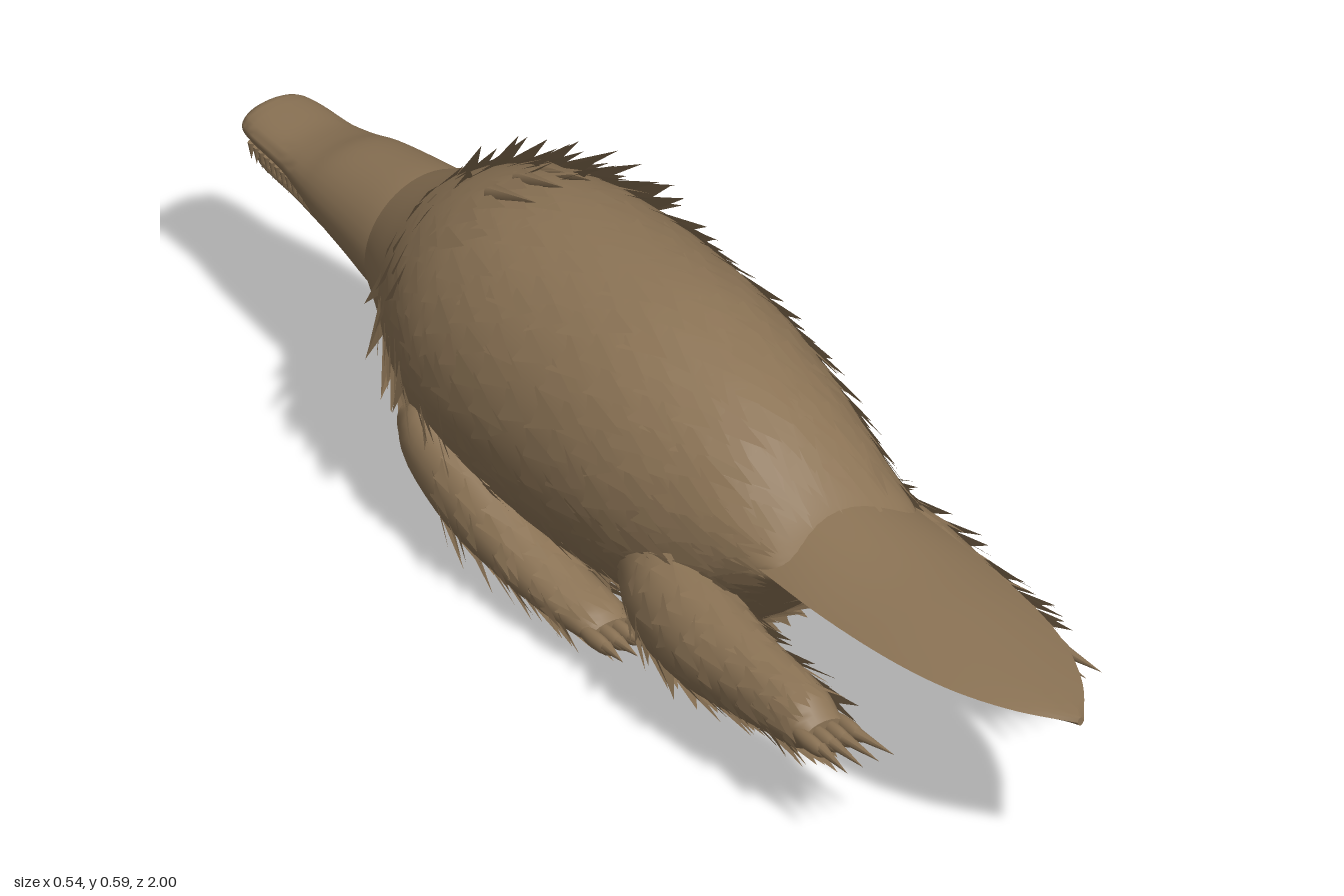
import * as THREE from 'three';
import { toCreasedNormals } from 'three/addons/utils/BufferGeometryUtils.js';

const hide = new THREE.MeshStandardMaterial({ color: 0x8b7355, side: THREE.DoubleSide });
hide.name = 'brown hide';

let seed = 7;
const rand = () => (seed = (seed * 16807) % 2147483647) / 2147483647;

// Smooth surface through sections [z, centreX, centreY, halfWidth, halfHeight]; power 2 gives a sharp-edged lens
function surface(sections, power = 1) {
  const centre = new THREE.CatmullRomCurve3(
    sections.map(([z, x, y]) => new THREE.Vector3(x, y, z)), false, 'catmullrom');
  const radius = new THREE.CatmullRomCurve3(
    sections.map((s) => new THREE.Vector3(s[3], s[4], 0)), false, 'catmullrom');
  return (u, a) => {
    const c = centre.getPoint(u), r = radius.getPoint(u), s = Math.sin(a);
    return new THREE.Vector3(
      c.x + r.x * Math.cos(a), c.y + r.y * Math.sign(s) * Math.abs(s) ** power, c.z);
  };
}

// Closed skin over a surface
function skin(at, rows = 32, cols = 32) {
  const pos = [], index = [];
  for (let i = 0; i <= rows; i++) {
    for (let j = 0; j < cols; j++) pos.push(...at(i / rows, (j / cols) * Math.PI * 2).toArray());
  }
  for (let i = 0; i < rows; i++) {
    for (let j = 0; j < cols; j++) {
      const k = (j + 1) % cols, a = i * cols + j, b = i * cols + k;
      index.push(a, b, a + cols, b, b + cols, a + cols);
    }
  }
  const mid = (u) => at(u, 0).add(at(u, Math.PI)).multiplyScalar(0.5).toArray();
  const first = pos.length / 3, end = rows * cols;
  pos.push(...mid(0), ...mid(1));
  for (let j = 0; j < cols; j++) {
    const k = (j + 1) % cols;
    index.push(first, k, j, first + 1, end + j, end + k);
  }
  const geo = new THREE.BufferGeometry();
  geo.setAttribute('position', new THREE.Float32BufferAttribute(pos, 3));
  geo.setIndex(index);
  return toCreasedNormals(geo, 0.7);
}

// Overlapping pointed tufts lying along the skin, swept towards +z, shaded with the skin below
function fur(at, { rows, cols, length, lift, from, to }) {
  const pos = [], normals = [];
  const e = 0.01;
  for (let i = 0; i < rows; i++) {
    for (let j = 0; j < cols; j++) {
      const u = from + (to - from) * ((i + 0.6 * rand()) / rows);
      const a = ((j + (i % 2) / 2 + 0.4 * rand()) / cols) * Math.PI * 2;
      const half = (Math.PI / cols) * (1 + 0.5 * rand());
      const along = at(Math.min(u + e, 1), a).sub(at(Math.max(u - e, 0), a)).normalize();
      const across = at(u, a + e).sub(at(u, a - e)).normalize();
      const out = across.clone().cross(along).normalize();
      const tip = at(u, a)
        .addScaledVector(along, length * (0.7 + 0.6 * rand()))
        .addScaledVector(across, (rand() - 0.5) * length * 0.4)
        .addScaledVector(out, lift(u) * (0.3 + 1.2 * rand()));
      for (const v of [at(u, a - half), at(u, a + half), tip]) {
        pos.push(v.x, v.y, v.z);
        normals.push(out.x, out.y, out.z);
      }
    }
  }
  const geo = new THREE.BufferGeometry();
  geo.setAttribute('position', new THREE.Float32BufferAttribute(pos, 3));
  geo.setAttribute('normal', new THREE.Float32BufferAttribute(normals, 3));
  return geo;
}

function add(parent, name, geometry) {
  const mesh = new THREE.Mesh(geometry, hide);
  mesh.name = name;
  parent.add(mesh);
  return mesh;
}

// Furry limb with four claws on its paw
function limb(name, side, sections, furOptions, clawLength) {
  const group = new THREE.Group();
  group.name = name;
  const at = surface(sections.map(([z, x, ...rest]) => [z, x * side, ...rest]));
  add(group, name + 'Skin', skin(at, 24, 20));
  add(group, name + 'Fur', fur(at, furOptions));
  const [z, x, y] = sections[sections.length - 1];
  for (let i = 0; i < 4; i++) {
    const t = i - 1.5;
    const toe = add(group, 'toe', new THREE.SphereGeometry(1, 12, 8));
    toe.scale.set(0.011, 0.014, 0.045);
    toe.position.set(side * (x + t * 0.023), y, z + 0.01);
    const claw = add(group, 'claw', new THREE.ConeGeometry(0.009, clawLength, 8));
    claw.rotation.set(Math.PI / 2, 0, -side * t * 0.08);
    claw.position.set(side * (x + t * 0.025), y + 0.003, z + 0.035 + clawLength / 2);
  }
  return group;
}

export function createModel() {
  const model = new THREE.Group();

  // Body
  const body = surface([
    [-0.61, 0, 0.32, 0.112, 0.111],
    [-0.54, 0, 0.32, 0.145, 0.15],
    [-0.45, 0, 0.315, 0.19, 0.205],
    [-0.35, 0, 0.311, 0.22, 0.242],
    [-0.2, 0, 0.312, 0.232, 0.25],
    [0, 0, 0.307, 0.224, 0.246],
    [0.13, 0, 0.298, 0.207, 0.226],
    [0.24, 0, 0.297, 0.182, 0.188],
    [0.33, 0, 0.309, 0.158, 0.118],
    [0.4, 0, 0.322, 0.14, 0.058],
    [0.44, 0, 0.325, 0.12, 0.035],
  ]);
  add(model, 'body', skin(body, 48, 48));
  add(model, 'bodyFur', fur(body, {
    rows: 26, cols: 32, length: 0.08, from: 0.12, to: 0.84,
    lift: (u) => (u < 0.36 ? 0.026 : 0.01),
  }));

  // Spiky crest and chest tuft behind the neck
  for (const a of [-1.75, -1.4, 1.35, 1.57, 1.8]) {
    const tuft = add(model, 'longTuft', new THREE.ConeGeometry(0.014, 0.12, 5));
    const root = body(0.31, a);
    tuft.position.set(root.x, root.y + Math.sign(a) * 0.008, root.z + 0.01);
    tuft.rotation.x = Math.PI / 2 - Math.sign(a) * 0.35;
  }

  // Flat paddle tail
  const tail = surface([
    [0.28, 0, 0.326, 0.14, 0.075],
    [0.4, 0, 0.326, 0.14, 0.052],
    [0.55, 0, 0.324, 0.139, 0.034],
    [0.7, 0, 0.324, 0.128, 0.025],
    [0.82, 0, 0.324, 0.104, 0.018],
    [0.92, 0, 0.324, 0.062, 0.012],
    [1, 0, 0.323, 0.006, 0.007],
  ], 2);
  add(model, 'tail', skin(tail, 32, 40));

  // Head running into the upper beak
  add(model, 'head', skin(surface([
    [-1, 0, 0.336, 0.042, 0.018],
    [-0.985, 0, 0.337, 0.058, 0.027],
    [-0.95, 0, 0.337, 0.066, 0.029],
    [-0.88, 0, 0.335, 0.071, 0.034],
    [-0.82, 0, 0.333, 0.082, 0.05],
    [-0.77, 0, 0.33, 0.091, 0.071],
    [-0.7, 0, 0.328, 0.1, 0.087],
    [-0.62, 0, 0.323, 0.109, 0.105],
    [-0.56, 0, 0.322, 0.11, 0.11],
  ])));

  // Lower beak
  add(model, 'lowerBeak', skin(surface([
    [-0.975, 0, 0.295, 0.04, 0.013],
    [-0.94, 0, 0.295, 0.056, 0.018],
    [-0.85, 0, 0.293, 0.064, 0.023],
    [-0.75, 0, 0.292, 0.076, 0.038],
    [-0.66, 0, 0.3, 0.08, 0.06],
  ]), 20));

  for (const side of [-1, 1]) {
    // Teeth along the beak edge
    for (let i = 0; i < 14; i++) {
      const tooth = add(model, 'tooth', new THREE.ConeGeometry(0.006, 0.03, 6));
      tooth.rotation.x = Math.PI;
      tooth.position.set(side * (0.052 + 0.0014 * i), 0.302, -0.97 + 0.015 * i);
    }

    // Hind leg trailing beside the tail
    model.add(limb(side > 0 ? 'leftHindLeg' : 'rightHindLeg', side, [
      [0.1, 0.14, 0.2, 0.04, 0.06],
      [0.2, 0.16, 0.193, 0.072, 0.085],
      [0.32, 0.178, 0.185, 0.072, 0.083],
      [0.43, 0.187, 0.185, 0.058, 0.07],
      [0.52, 0.187, 0.185, 0.052, 0.058],
      [0.58, 0.187, 0.183, 0.047, 0.05],
      [0.605, 0.187, 0.181, 0.041, 0.035],
      [0.625, 0.187, 0.181, 0.036, 0.018],
    ], { rows: 10, cols: 15, length: 0.065, lift: () => 0.016, from: 0.1, to: 0.74 }, 0.08));

    // Foreleg folded back along the belly
    model.add(limb(side > 0 ? 'leftForeleg' : 'rightForeleg', side, [
      [-0.39, 0.2, 0.2, 0.015, 0.025],
      [-0.34, 0.203, 0.185, 0.035, 0.055],
      [-0.24, 0.198, 0.142, 0.045, 0.065],
      [-0.12, 0.19, 0.108, 0.05, 0.052],
      [-0.02, 0.185, 0.09, 0.05, 0.04],
      [0.06, 0.18, 0.079, 0.045, 0.03],
      [0.09, 0.18, 0.075, 0.036, 0.015],
    ], { rows: 8, cols: 13, length: 0.06, lift: () => 0.016, from: 0.28, to: 0.8 }, 0.05));
  }
  return model;
}
